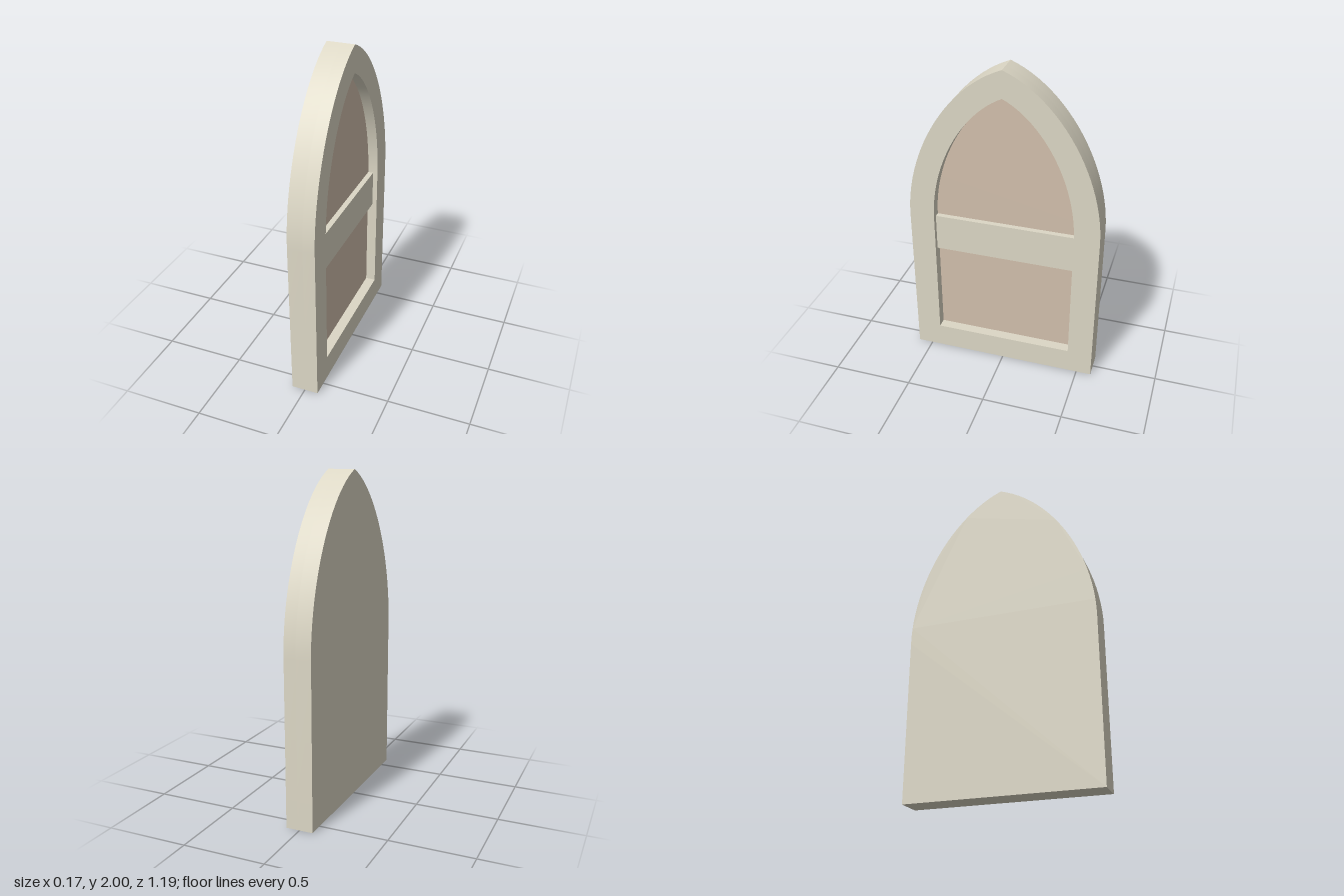
import * as THREE from 'three';
import { toCreasedNormals } from 'three/addons/utils/BufferGeometryUtils.js';

const HALF_DEPTH = 0.083;
const PANEL_BACK = 0.01;
const PANEL_FACE = 0.02;
const BAR_FACE = 0.053;

// Pointed arch outline: straight sides up to the spring line at y = 1, then two curves to the apex
function traceArch(path, { half, bottom, apex, c1y, c2x, c2y }) {
  path.moveTo(-half, bottom);
  path.lineTo(half, bottom);
  path.lineTo(half, 1);
  path.bezierCurveTo(half, c1y, c2x, c2y, 0, apex);
  path.bezierCurveTo(-c2x, c2y, -half, c1y, -half, 1);
  path.closePath();
  return path;
}

const outer = { half: 0.593, bottom: 0, apex: 2, c1y: 1.42, c2x: 0.34, c2y: 1.87 };
const inner = { half: 0.4375, bottom: 0.157, apex: 1.836, c1y: 1.37, c2x: 0.24, c2y: 1.725 };

export function createModel() {
  const group = new THREE.Group();
  group.name = 'archedWindow';
  const cream = new THREE.MeshStandardMaterial({ color: 0xdcd7c5 });
  const blush = new THREE.MeshStandardMaterial({ color: 0xd2bfac });

  // Extrudes an outline from x0 to x1, so that it faces +x
  function addSlab(name, shape, x0, x1, material) {
    const geometry = new THREE.ExtrudeGeometry(shape, {
      depth: x1 - x0, bevelEnabled: false, curveSegments: 24,
    });
    geometry.translate(0, 0, x0);
    geometry.rotateY(Math.PI / 2);
    const mesh = new THREE.Mesh(toCreasedNormals(geometry, Math.PI / 7), material);
    mesh.name = name;
    group.add(mesh);
  }

  // Solid back
  addSlab('back', traceArch(new THREE.Shape(), outer), -HALF_DEPTH, PANEL_BACK, cream);

  // Raised frame around the recess
  const frame = traceArch(new THREE.Shape(), outer);
  frame.holes.push(traceArch(new THREE.Path(), inner));
  addSlab('frame', frame, PANEL_BACK, HALF_DEPTH, cream);

  // Recessed coloured pane
  addSlab('pane', traceArch(new THREE.Shape(), inner), PANEL_BACK, PANEL_FACE, blush);

  // Crossbar, standing half as proud as the frame
  const barBottom = 0.765, barTop = 1;
  const bar = new THREE.Mesh(
    new THREE.BoxGeometry(BAR_FACE - PANEL_BACK, barTop - barBottom, inner.half * 2), cream);
  bar.position.set((BAR_FACE + PANEL_BACK) / 2, (barBottom + barTop) / 2, 0);
  bar.name = 'crossbar';
  group.add(bar);

  return group;
}
